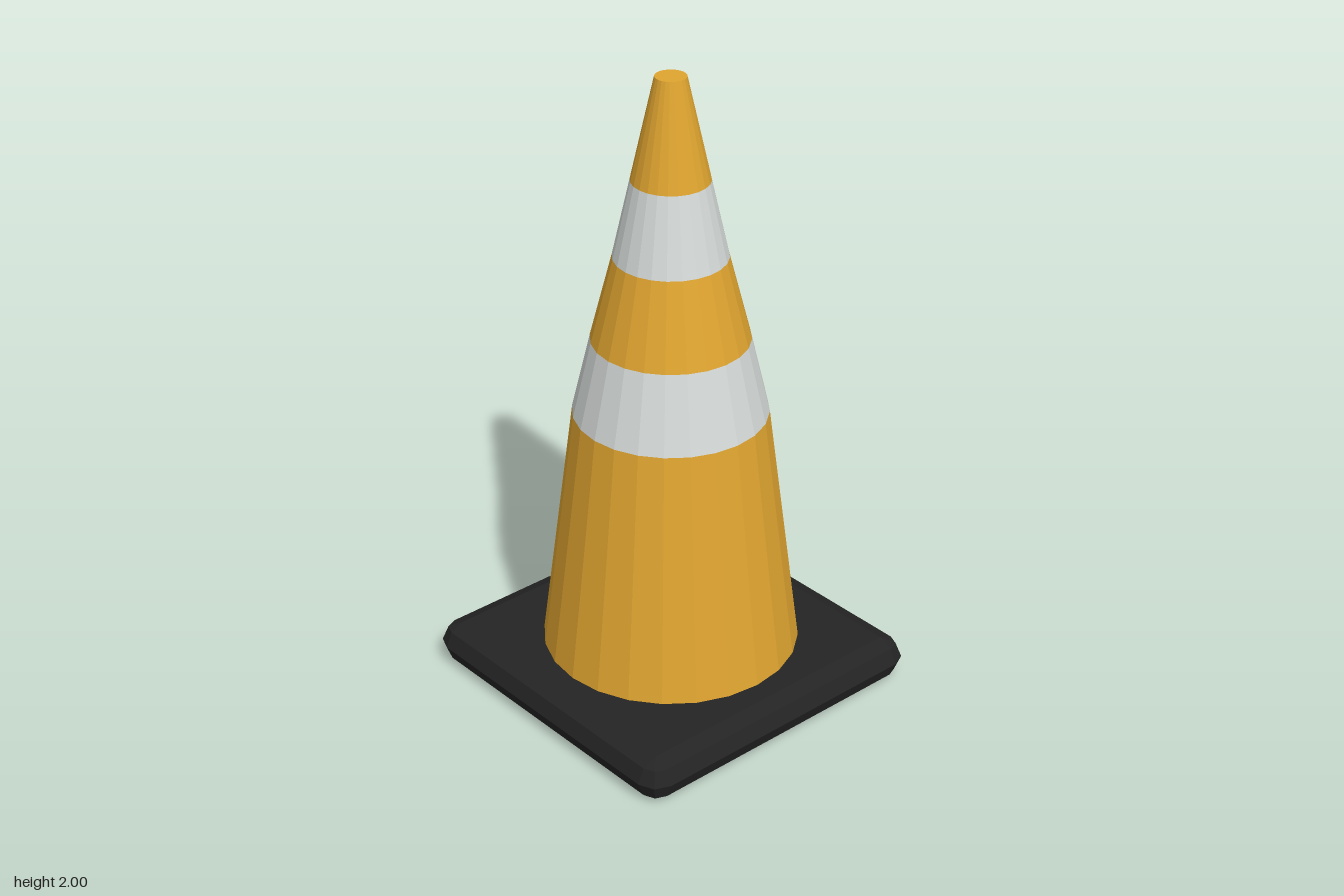
import * as THREE from 'three';
import { ConvexGeometry } from 'three/addons/geometries/ConvexGeometry.js';

export function createModel() {
  const group = new THREE.Group();
  const material = (name, color) => {
    const m = new THREE.MeshStandardMaterial({ color, flatShading: true });
    m.name = name;
    return m;
  };
  const orange = material('amber orange', 0xe0a530);
  const white = material('reflective white', 0xd5dad8);
  const black = material('black rubber', 0x242424);

  const add = (name, geometry, mat, y) => {
    const mesh = new THREE.Mesh(geometry, mat);
    mesh.name = name;
    mesh.position.y = y;
    group.add(mesh);
  };

  // Square foot: hull of four faceted corner balls, giving two-step rounded edges
  const half = 0.533, r = 0.0685, inner = half - r;
  const points = [];
  for (const sx of [-1, 1]) for (const sz of [-1, 1]) {
    for (const sy of [-1, 1]) points.push(new THREE.Vector3(sx * inner, sy * r, sz * inner));
    for (const lat of [-Math.PI / 4, 0, Math.PI / 4]) {
      for (const a of [0, Math.PI / 4, Math.PI / 2]) {
        const ring = r * Math.cos(lat);
        points.push(new THREE.Vector3(
          sx * (inner + ring * Math.cos(a)),
          r * Math.sin(lat),
          sz * (inner + ring * Math.sin(a))
        ));
      }
    }
  }
  add('base', new ConvexGeometry(points), black, r);

  // Cone stacked from 24-sided bands: name, material, bottom y, top y, bottom radius, top radius
  const bands = [
    ['lowerBody', orange, 0.137, 0.935, 0.399, 0.297],
    ['lowerStripe', white, 0.935, 1.178, 0.297, 0.24],
    ['middleBody', orange, 1.178, 1.443, 0.24, 0.172],
    ['upperStripe', white, 1.443, 1.684, 0.172, 0.118],
    ['tip', orange, 1.684, 2, 0.118, 0.047],
  ];
  for (const [name, mat, y0, y1, r0, r1] of bands) {
    const open = name !== 'tip';
    add(name, new THREE.CylinderGeometry(r1, r0, y1 - y0, 24, 1, open), mat, (y0 + y1) / 2);
  }

  return group;
}
